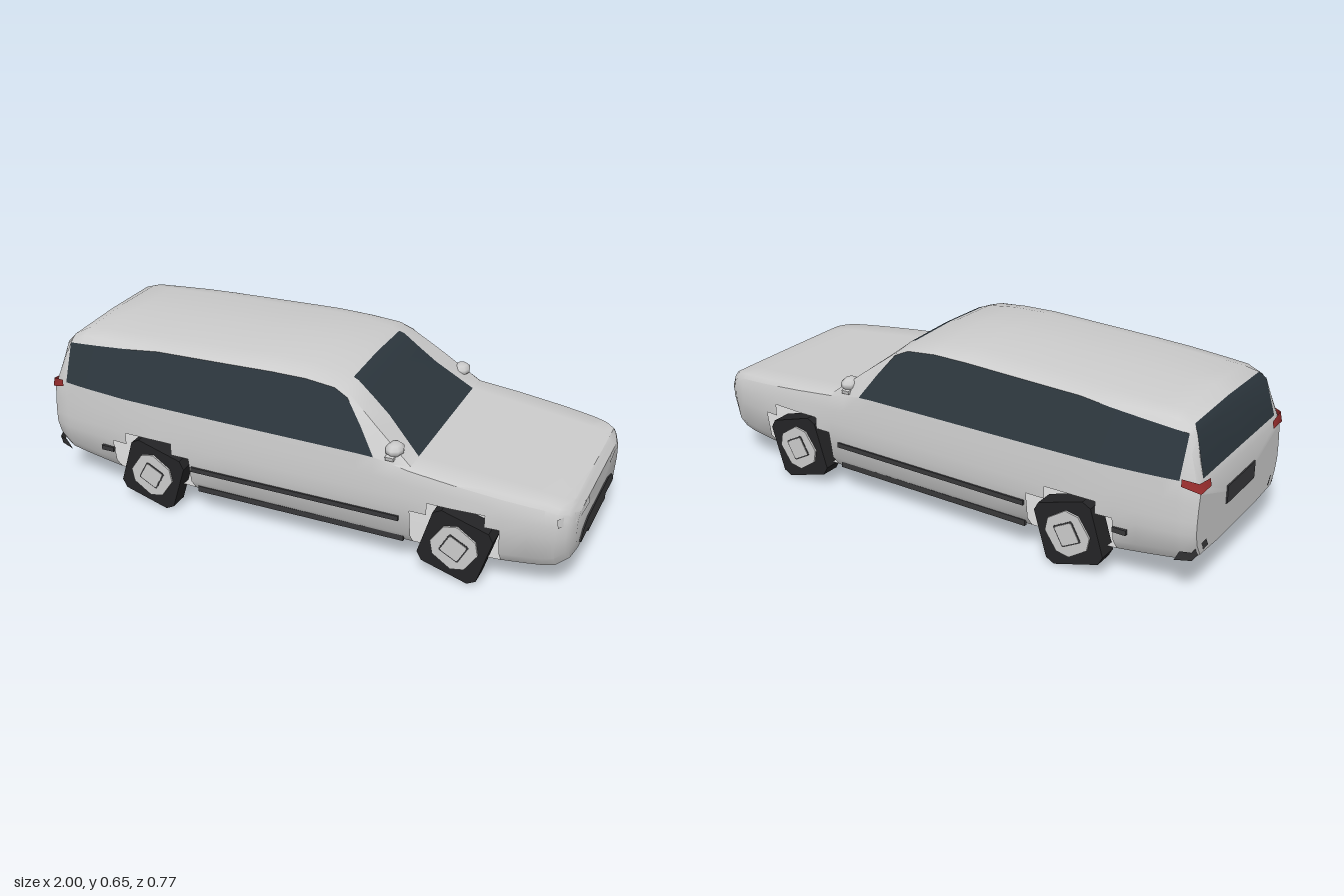
import * as THREE from 'three';
import { toCreasedNormals } from 'three/addons/utils/BufferGeometryUtils.js';

const mat = (color) => new THREE.MeshStandardMaterial({ color, side: THREE.DoubleSide });
const paint = mat(0xcccccc), glass = mat(0x2c363d), dark = mat(0x38383a), rubber = mat(0x242426), red = mat(0xa03030);

// Piecewise-linear lookup in a table of [x, value]
function at(table, x) {
  if (x <= table[0][0]) return table[0][1];
  for (let i = 1; i < table.length; i++) {
    const [x0, v0] = table[i - 1], [x1, v1] = table[i];
    if (x <= x1) return v0 + (v1 - v0) * (x - x0) / (x1 - x0);
  }
  return table[table.length - 1][1];
}

// Body lines along the length of the car (nose at +x)
const BOTTOM = [[-1, .15], [-.97, .125], [-.72, .1], [-.4, .09], [.45, .085], [.76, .09], [.93, .1], [.98, .13], [1, .16]];
const WIDTH = [[-1, .325], [-.96, .345], [-.85, .362], [-.65, .38], [-.3, .383], [.6, .383], [.8, .372], [.94, .35], [.98, .32], [1, .27]];
const BELT = [[-1, .37], [-.985, .4], [-.93, .42], [.3, .41], [.44, .385], [.9, .335], [.97, .32], [1, .28]];
const TOP = [[-1, .385], [-.985, .42], [-.95, .56], [-.92, .6], [-.88, .612], [-.5, .63], [-.1, .645], [.03, .64],
  [.14, .625], [.19, .605], [.44, .395], [.9, .35], [.97, .335], [1, .3]];
const WINDOW_TOP = [[-1, .37], [-.985, .4], [-.93, .56], [-.55, .6], [0, .613], [.14, .6], [.2, .572], [.31, .41], [.32, 0]];
const INNER = [[-1, .29], [-.95, .27], [-.9, .22], [.17, .21], [.3, .225], [.44, .28], [.95, .25], [1, .2]];
const STATIONS = [-.995, -.985, -.95, -.93, -.88, -.8, -.72, -.66, -.55, -.47, -.4, -.25, -.1, .03, .14, .17, .19, .25, .31,
  .38, .44, .45, .51, .6, .71, .76, .85, .9, .94, .97, .98, .995];

// Half cross-section [z, y] from floor centre up to roof centre
function halfSection(x) {
  const b = at(BOTTOM, x), w = at(WIDTH, x), belt = at(BELT, x), top = at(TOP, x), h = top - belt;
  const high = Math.min(.285, belt - .03), low = Math.min(.24, belt - .06);
  const win = Math.max(at(WINDOW_TOP, x), belt + .02 * h), edge = belt + .9 * h;
  const side = (y) => w * .97 - (y - belt) * .38;
  return [[0, b], [w * .5, b], [w * .88, b + .008], [w * .96, b + .05], [w, low], [w, high], [w * .99, (high + belt) / 2],
    [w * .97, belt], [side(win), win], [side(edge) - .013, edge], [at(INNER, x), belt + .965 * h], [0, top]];
}

const within = (x, a, b) => x > a && x < b;

// Lofted shell, split into paint and glass, with stepped wheel openings left out
function addShell(group) {
  const pos = [], body = [], windows = [], ring = 22;
  for (const x of STATIONS) {
    const half = halfSection(x);
    for (let j = 0; j < ring; j++) {
      const [z, y] = half[j < 12 ? j : ring - j];
      pos.push(x, y, j < 12 ? z : -z);
    }
  }
  for (let i = 0; i < STATIONS.length - 1; i++) {
    const x = (STATIONS[i] + STATIONS[i + 1]) / 2;
    const archLow = within(x, -.72, -.4) || within(x, .45, .76);
    const archHigh = within(x, -.66, -.47) || within(x, .51, .71);
    for (let j = 0; j < ring; j++) {
      const k = j < 11 ? j : 21 - j;
      if ((archLow && (k === 2 || k === 3)) || (archHigh && k === 4)) continue;
      const isGlass = (k === 7 && within(x, -.93, .31)) ||
        (k === 10 && (within(x, .17, .44) || within(x, -.985, -.93)));
      const n = (j + 1) % ring, a = i * ring + j, b = a + ring, c = (i + 1) * ring + n, d = i * ring + n;
      (isGlass ? windows : body).push(a, b, c, a, c, d);
    }
  }
  // Nose and tail caps
  const last = (STATIONS.length - 1) * ring, tail = pos.length / 3;
  pos.push(-.995, .26, 0, .995, .23, 0);
  for (let j = 0; j < ring; j++) {
    const n = (j + 1) % ring;
    body.push(tail, j, n, tail + 1, last + n, last + j);
  }
  for (const [name, index, m] of [['bodyShell', body, paint], ['windows', windows, glass]]) {
    const g = new THREE.BufferGeometry();
    g.setAttribute('position', new THREE.Float32BufferAttribute(pos, 3));
    g.setIndex(index);
    add(group, name, toCreasedNormals(g, .65), m);
  }
}

function add(group, name, geometry, material, x = 0, y = 0, z = 0) {
  const mesh = new THREE.Mesh(geometry, material);
  mesh.name = name;
  mesh.position.set(x, y, z);
  group.add(mesh);
  return mesh;
}

// Flat plate from an outline, centred through its depth
function plate(points, depth) {
  const shape = new THREE.Shape(points.map(([x, y]) => new THREE.Vector2(x, y)));
  return new THREE.ExtrudeGeometry(shape, { depth, bevelEnabled: false }).translate(0, 0, -depth / 2);
}

// Surface strip between pairs of points [lower, upper]
function strip(pairs) {
  const g = new THREE.BufferGeometry(), index = [];
  g.setAttribute('position', new THREE.Float32BufferAttribute(pairs.flat(2), 3));
  for (let i = 0; i < pairs.length - 1; i++) index.push(2 * i, 2 * i + 1, 2 * i + 3, 2 * i, 2 * i + 3, 2 * i + 2);
  g.setIndex(index);
  g.computeVertexNormals();
  return g;
}

// Square with cut corners
const cutSquare = (h, c) => [[h, c - h], [h, h - c], [h - c, h], [c - h, h], [-h, h - c], [-h, c - h], [c - h, -h], [h - c, -h]];

function makeWheel(name, x, side) {
  const wheel = new THREE.Group();
  wheel.name = name;
  wheel.position.set(x, .1325, side * .337);
  add(wheel, 'tyre', plate(cutSquare(.112, .025), .072), rubber).rotation.z = -.297;
  add(wheel, 'rim', plate(cutSquare(.075, .035), .012), paint, 0, 0, side * .037).rotation.z = -.6;
  add(wheel, 'rimRecess', plate(cutSquare(.04, .004), .004), dark, 0, 0, side * .042).rotation.z = -.5;
  add(wheel, 'hub', plate(cutSquare(.035, .004), .006), paint, 0, 0, side * .043).rotation.z = -.5;
  return wheel;
}

export function createModel() {
  const car = new THREE.Group();
  car.name = 'estateCar';
  addShell(car);

  for (const s of [1, -1]) {
    const label = s > 0 ? 'Left' : 'Right';
    car.add(makeWheel('frontWheel' + label, .61, s), makeWheel('rearWheel' + label, -.56, s));

    // Side trim
    add(car, 'sideMoulding' + label, new THREE.BoxGeometry(.8, .018, .012), dark, .01, .2, s * .379);
    add(car, 'rearMoulding' + label, new THREE.BoxGeometry(.05, .018, .012), dark, -.747, .2, s * .369);
    add(car, 'sill' + label, new THREE.BoxGeometry(.8, .022, .012), dark, .02, .106, s * .348);

    // Lamps wrapped around the corners
    add(car, 'headlight' + label, strip([
      [[.999, .28, s * .14], [.997, .305, s * .15]],
      [[.994, .283, s * .285], [.984, .316, s * .285]],
      [[.948, .285, s * .354], [.943, .315, s * .354]]]), paint);
    add(car, 'tailLight' + label, strip([
      [[-1, .385, s * .25], [-.995, .41, s * .25]],
      [[-1, .385, s * .325], [-.992, .42, s * .325]],
      [[-.94, .405, s * .346], [-.94, .43, s * .344]]]), red);
    add(car, 'rearReflector' + label, strip([
      [[-1, .17, s * .24], [-1, .2, s * .26]],
      [[-.985, .145, s * .325], [-.985, .18, s * .335]],
      [[-.93, .14, s * .342], [-.95, .18, s * .347]]]), dark);

    // Door mirror: pointed housing with a short stalk
    const mirror = add(car, 'mirror' + label, new THREE.SphereGeometry(1, 8, 5), paint, .375, .437, s * .335);
    mirror.scale.set(.034, .024, .042);
    const stalk = add(car, 'mirrorStalk' + label, new THREE.BoxGeometry(.03, .014, .05), paint, .37, .42, s * .35);
    stalk.rotation.x = s * .2;
  }

  // Nose and tail fittings
  const grille = [[-.23, .175], [-.2, .205], [-.14, .223], [.14, .223], [.2, .205], [.23, .175], [.22, .168], [-.22, .168]];
  add(car, 'grille', plate(grille, .02), dark, .99).rotation.y = Math.PI / 2;
  add(car, 'lowerIntake', new THREE.BoxGeometry(.025, .02, .235), dark, .987, .16, 0);
  add(car, 'rearPlateRecess', new THREE.BoxGeometry(.01, .065, .22), dark, -.995, .29, 0);
  return car;
}
